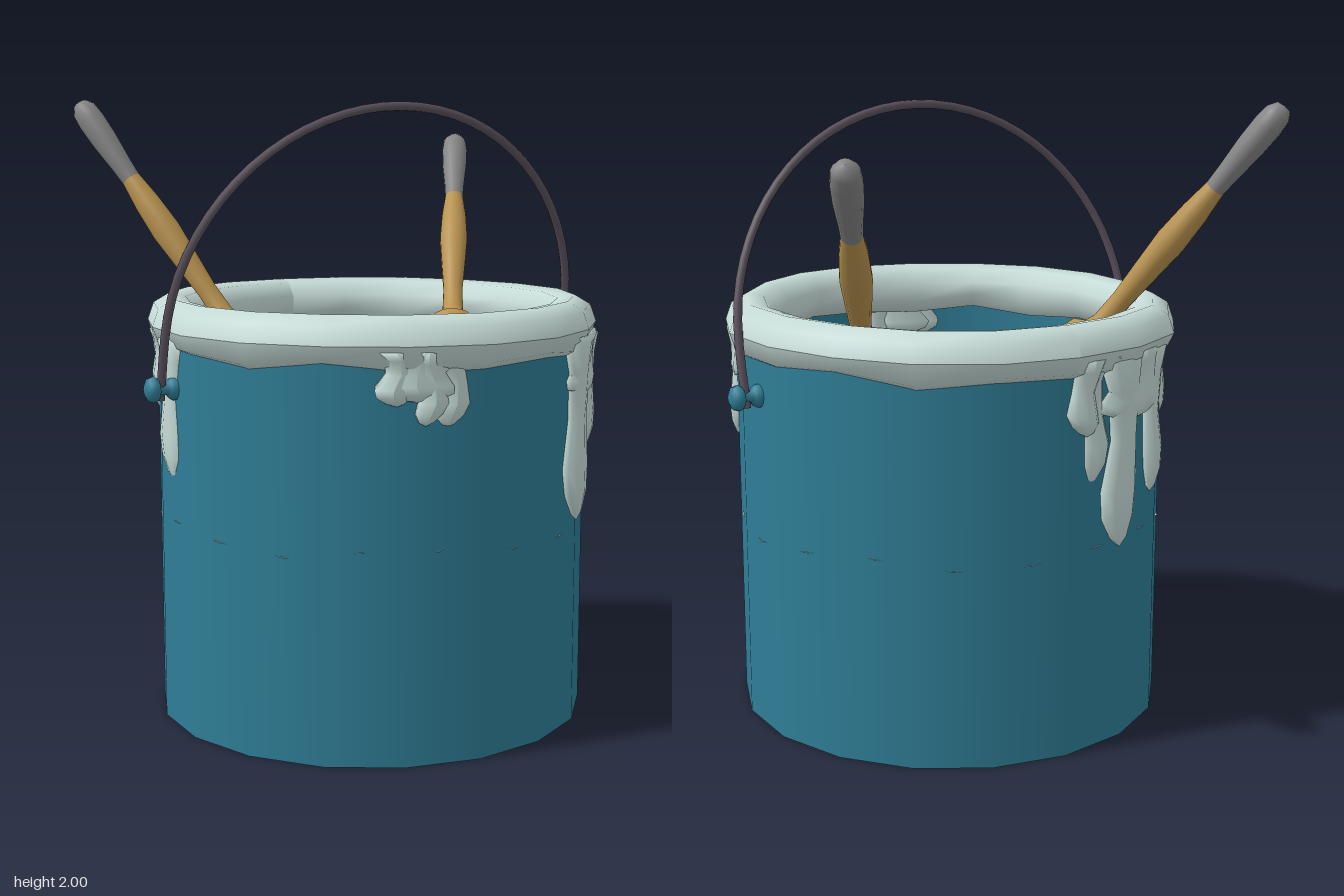
import * as THREE from 'three';

const mat = (color, side = THREE.FrontSide) =>
  new THREE.MeshStandardMaterial({ color, side });
const TEAL = mat(0x2f7d96);
const TEAL_WALL = mat(0x2f7d96, THREE.DoubleSide);
const PAINT = mat(0xc6dbd7);
const WOOD = mat(0xb9934f);
const GREY = mat(0x858585);
const BLUE = mat(0x4c4cc8);
const BRISTLE = mat(0xa09c4c);
const WIRE = mat(0x5a505c);

const RADIUS = 0.705, SIDES = 18, CENTRE_Z = 0.022, RIM_Y = 1.28;

function add(parent, name, geometry, material) {
  const mesh = new THREE.Mesh(geometry, material);
  mesh.name = name;
  parent.add(mesh);
  return mesh;
}

// Moves every vertex by a rule and refreshes the normals
function reshape(geometry, rule) {
  const p = geometry.attributes.position, v = new THREE.Vector3();
  for (let i = 0; i < p.count; i++) {
    v.fromBufferAttribute(p, i);
    rule(v);
    p.setXYZ(i, v.x, v.y, v.z);
  }
  geometry.computeVertexNormals();
  return geometry;
}

const lathe = (pts, sides = 14) =>
  new THREE.LatheGeometry(pts.map(([r, y]) => new THREE.Vector2(r, y)), sides);

// Teardrop flattened and bent round the bucket wall; az is degrees from the front
function drip(az, bottom, width, wall = RADIUS, depth = 0.035) {
  const top = 1.27, h = top - bottom;
  const profile = [[0, 0], [0.45, 0.05], [0.85, 0.16], [0.95, 0.3], [0.72, 0.55], [0.85, 0.8], [1.15, 0.95], [0, 1]];
  const a0 = THREE.MathUtils.degToRad(az);
  return reshape(lathe(profile, 10), v => {
    const a = a0 + v.x * width / RADIUS + 0.02 * Math.sin(v.y * 7 + az);
    const r = wall + v.z * depth;
    v.set(Math.sin(a) * r, bottom + v.y * h, Math.cos(a) * r);
  });
}

// Brush laid along -y from its handle end, then turned to its direction
function brush(name, start, tip) {
  const g = new THREE.Group();
  g.name = name;
  add(g, 'handleGrip', lathe([[0.033, -0.33], [0.036, -0.27], [0.045, -0.16], [0.047, -0.08],
    [0.042, -0.03], [0.026, -0.005], [0, 0]]), GREY);
  add(g, 'woodHandle', lathe([[0.092, -1.06], [0.096, -1.0], [0.085, -0.965], [0.05, -0.94], [0.036, -0.9],
    [0.034, -0.8], [0.042, -0.68], [0.05, -0.55], [0.044, -0.43], [0.033, -0.33]]), WOOD);
  add(g, 'ferrule', lathe([[0.09, -1.22], [0.1, -1.215], [0.1, -1.2], [0.091, -1.19], [0.091, -1.07],
    [0.1, -1.06], [0.1, -1.045], [0.088, -1.035]]), BLUE);
  add(g, 'bristles', lathe([[0, -1.52], [0.125, -1.48], [0.12, -1.4], [0.088, -1.2]]), BRISTLE);
  // Wet paint on the bristle ends, with a ragged upper edge
  const coat = lathe([[0, -1.6], [0.07, -1.59], [0.12, -1.55], [0.143, -1.49], [0.138, -1.43], [0.11, -1.37]]);
  add(g, 'paintCoat', reshape(coat, v => {
    if (v.y > -1.46) v.y += 0.035 * Math.sin(Math.atan2(v.z, v.x) * 3);
  }), PAINT);
  g.position.set(...start);
  const dir = new THREE.Vector3(...tip).sub(g.position).normalize();
  g.quaternion.setFromUnitVectors(new THREE.Vector3(0, -1, 0), dir);
  return g;
}

export function createModel() {
  const model = new THREE.Group();
  model.name = 'paintBucket';
  const bucket = new THREE.Group();
  bucket.name = 'bucket';
  bucket.position.z = CENTRE_Z;
  model.add(bucket);

  // Bucket wall and base
  add(bucket, 'wall', new THREE.CylinderGeometry(RADIUS, RADIUS, RIM_Y, SIDES, 1, true)
    .translate(0, RIM_Y / 2, 0), TEAL_WALL);
  add(bucket, 'base', new THREE.CircleGeometry(RADIUS, SIDES, -Math.PI / 2)
    .rotateX(-Math.PI / 2), TEAL_WALL);

  // Paint surface inside, gently uneven
  const surface = new THREE.RingGeometry(0, RADIUS - 0.005, SIDES, 5).rotateX(-Math.PI / 2);
  add(bucket, 'paintSurface', reshape(surface, v => {
    v.y = 0.65 + 0.025 * Math.sin(v.x * 7) * Math.cos(v.z * 6);
  }), PAINT);

  // Thick uneven ring of paint over the lip
  const ring = new THREE.TorusGeometry(0.673, 0.087, 9, SIDES)
    .rotateX(Math.PI / 2).rotateY(Math.PI / 2);
  add(bucket, 'paintRim', reshape(ring, v => {
    const a = Math.atan2(v.x, v.z);
    const k = 1 + 0.01 * Math.sin(a * 5 + 1);
    v.set(v.x * k * 0.965, v.y + RIM_Y, v.z * k);
    if (v.y < RIM_Y) v.y += 0.014 * Math.sin(a * 7);
  }), PAINT);

  // Drips outside: angle, lowest point, half width
  const outside = [
    [40, 0.66, 0.1], [56, 0.87, 0.058], [48, 1.06, 0.2],
    [-14, 1.04, 0.05], [-22, 1.1, 0.06], [-17, 1.11, 0.13],
    [198, 0.64, 0.085], [214, 0.77, 0.055], [205, 1.04, 0.2], [184, 1.02, 0.06],
  ];
  for (const [az, low, w] of outside) add(bucket, 'outerDrip', drip(az, low, w), PAINT);

  // Drips down the inside wall
  const inside = [
    [-8, 1.03, 0.06], [-16, 1.1, 0.1], [188, 0.86, 0.06], [200, 0.98, 0.08],
    [238, 0.95, 0.06], [246, 1.05, 0.1], [266, 0.8, 0.09], [45, 1.0, 0.1],
  ];
  for (const [az, low, w] of inside) add(bucket, 'innerDrip', drip(az, low, w, RADIUS - 0.02), PAINT);

  // Round-headed pins that hold the wire handle
  const pin = lathe([[0.038, 0.67], [0.038, 0.7], [0.03, 0.715], [0.019, 0.722], [0.019, 0.748],
    [0.034, 0.752], [0.042, 0.765], [0.036, 0.782], [0.018, 0.792], [0, 0.793]], 12);
  for (const side of [1, -1]) {
    const m = add(bucket, side > 0 ? 'leftPin' : 'rightPin', pin, TEAL);
    m.rotation.z = -side * Math.PI / 2;
    m.position.y = 1.1;
  }

  // Wire handle: short straight legs and a half circle, leaning forward
  const pts = [new THREE.Vector3(0.74, -0.035, 0), new THREE.Vector3(0.74, 0.06, 0)];
  for (let i = 0; i <= 16; i++) {
    const a = Math.PI * i / 16;
    pts.push(new THREE.Vector3(0.74 * Math.cos(a), 0.155 + 0.74 * Math.sin(a), 0));
  }
  pts.push(new THREE.Vector3(-0.74, 0.06, 0), new THREE.Vector3(-0.74, -0.035, 0));
  const handle = add(bucket, 'wireHandle',
    new THREE.TubeGeometry(new THREE.CatmullRomCurve3(pts), 40, 0.015, 8), WIRE);
  handle.position.y = 1.1;
  handle.rotation.x = 0.233;

  // Two brushes resting in the paint
  model.add(brush('rightBrush', [-0.715, 1.99, -0.765], [-0.115, 0.72, 0.05]));
  model.add(brush('leftBrush', [0.76, 1.875, -0.71], [0.14, 0.81, 0.31]));
  return model;
}
